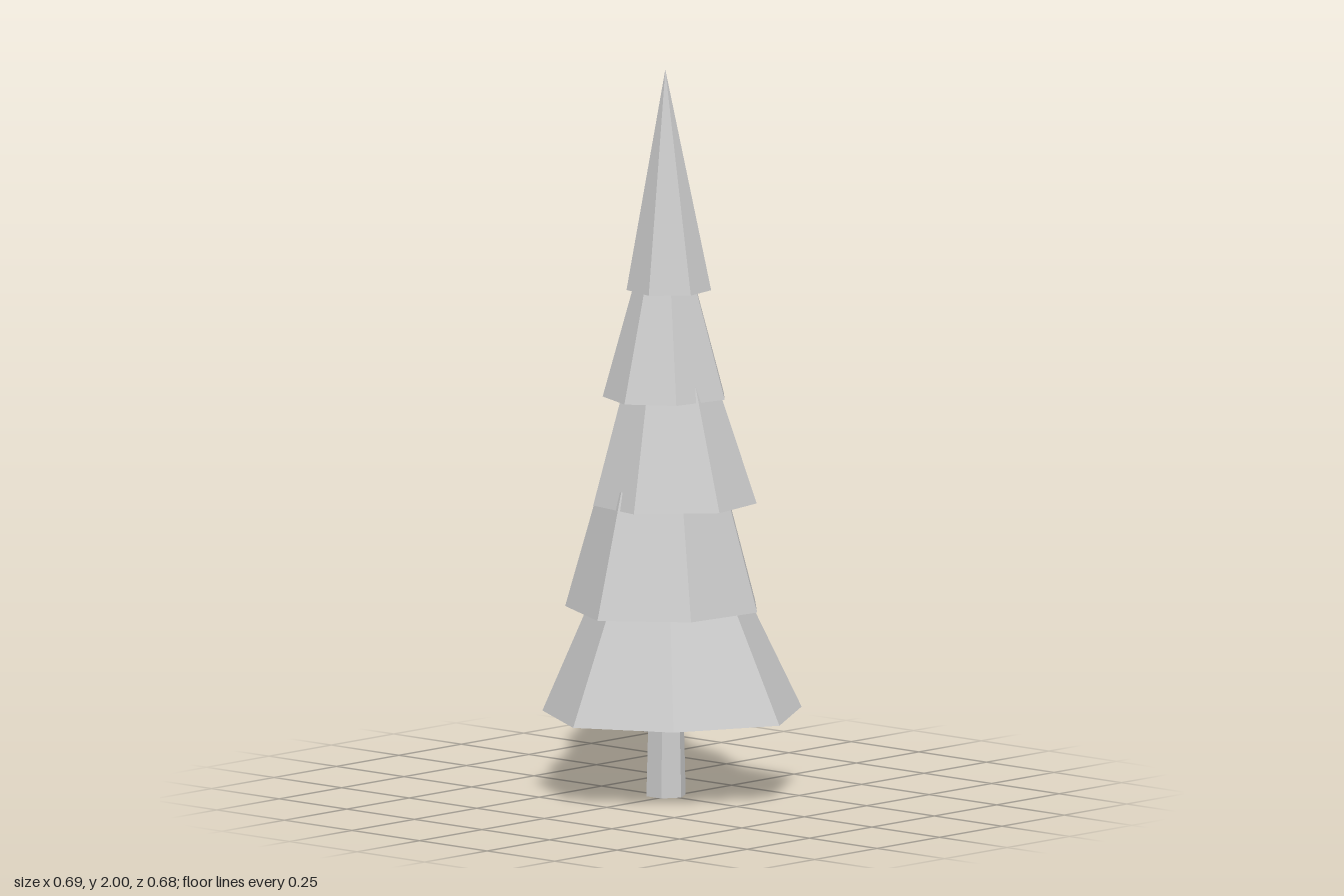
import * as THREE from 'three';

const AXIS = [-0.018, -0.004]; // x, z of the tree's centre line

// Each tier: rim height, top height, top scale, rim corners [x, z] from back to +x to front
const TIERS = [
  { y: 0.225, top: 0.58, scale: 0.55, rim: [[-0.144, -0.308], [0.174, -0.342], [0.345, -0.068], [0.211, 0.211], [-0.043, 0.338], [-0.30, 0.183], [-0.349, -0.126]] },
  { y: 0.52, top: 0.86, scale: 0.65, rim: [[-0.157, -0.282], [0.085, -0.252], [0.232, -0.101], [0.211, 0.141], [0.007, 0.295], [-0.226, 0.172], [-0.31, -0.057]] },
  { y: 0.81, top: 1.15, scale: 0.55, rim: [[-0.007, -0.223], [0.187, -0.148], [0.223, 0.04], [0.066, 0.213], [-0.115, 0.18], [-0.236, 0.033], [-0.202, -0.157]] },
  { y: 1.10, top: 1.44, scale: 0.45, rim: [[-0.096, -0.163], [0.051, -0.163], [0.141, -0.07], [0.115, 0.096], [-0.005, 0.174], [-0.139, 0.116], [-0.182, -0.04]] },
  { y: 1.395, top: 2.0, scale: 0, rim: [[-0.005, -0.131], [0.087, -0.074], [0.107, 0.029], [0.025, 0.109], [-0.085, 0.079], [-0.126, -0.003], [-0.101, -0.098]] },
];

function faceted(positions) {
  const g = new THREE.BufferGeometry();
  g.setAttribute('position', new THREE.Float32BufferAttribute(positions, 3));
  g.computeVertexNormals();
  return g;
}

// Sloping outer faces of one tier
function skirtGeometry({ y, top, scale, rim }) {
  const low = rim.map(([x, z]) => [x, y, z]);
  const high = rim.map(([x, z]) => [
    AXIS[0] + (x - AXIS[0]) * scale, top, AXIS[1] + (z - AXIS[1]) * scale,
  ]);
  const pos = [];
  rim.forEach((_, i) => {
    const j = (i + 1) % rim.length;
    pos.push(...low[i], ...high[i], ...low[j]);
    if (scale > 0) pos.push(...low[j], ...high[i], ...high[j]);
  });
  return faceted(pos);
}

// Hollow underside, rising towards the centre line, smoothly shaded
function undersideGeometry({ y, rim }) {
  const n = rim.length;
  const pos = rim.flatMap(([x, z]) => [x, y, z]);
  const rise = 0.4 * Math.hypot(rim[0][0] - AXIS[0], rim[0][1] - AXIS[1]);
  pos.push(AXIS[0], y + rise, AXIS[1]);
  const index = [];
  for (let i = 0; i < n; i++) index.push(i, (i + 1) % n, n);
  const g = new THREE.BufferGeometry();
  g.setAttribute('position', new THREE.Float32BufferAttribute(pos, 3));
  g.setIndex(index);
  g.computeVertexNormals();
  return g;
}

export function createModel() {
  const tree = new THREE.Group();
  tree.name = 'pineTree';
  const grey = new THREE.MeshStandardMaterial({ color: 0xcccccc });
  grey.name = 'light grey';

  // Six-sided trunk, tapering slightly
  const trunkGeo = new THREE.CylinderGeometry(0.046, 0.056, 0.38, 6).rotateY(Math.PI / 6).toNonIndexed();
  trunkGeo.computeVertexNormals();
  const trunk = new THREE.Mesh(trunkGeo, grey);
  trunk.name = 'trunk';
  trunk.position.set(AXIS[0], 0.19, AXIS[1] - 0.003);
  tree.add(trunk);

  // Stacked seven-sided branch tiers
  TIERS.forEach((tier, i) => {
    const group = new THREE.Group();
    group.name = `branchTier${i + 1}`;
    const skirt = new THREE.Mesh(skirtGeometry(tier), grey);
    skirt.name = 'skirt';
    const underside = new THREE.Mesh(undersideGeometry(tier), grey);
    underside.name = 'underside';
    group.add(skirt, underside);
    tree.add(group);
  });
  return tree;
}
